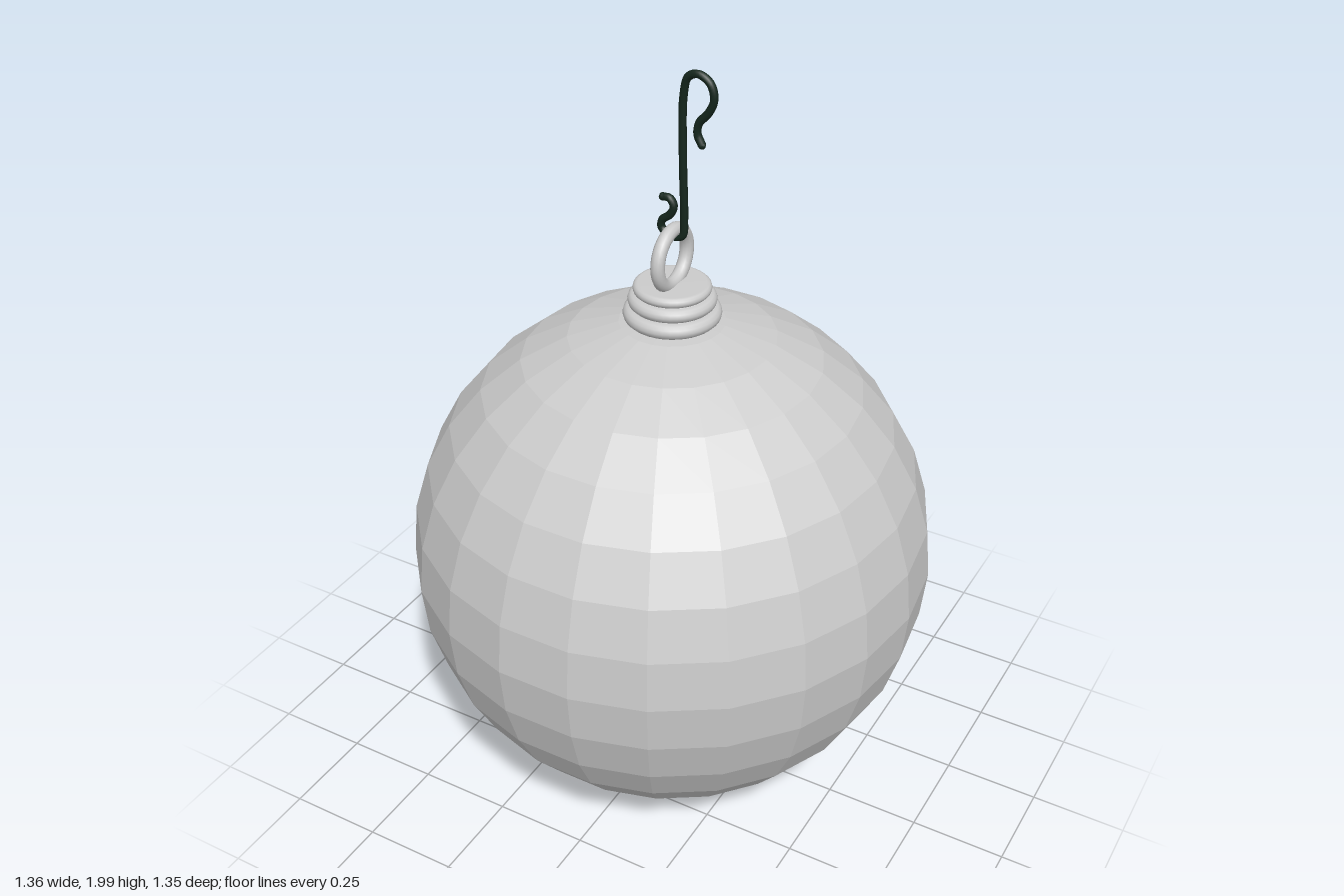
import * as THREE from 'three';

export function createModel() {
  const group = new THREE.Group();
  const facetMat = new THREE.MeshStandardMaterial({ color: 0xcccccc, flatShading: true });
  const greyMat = new THREE.MeshStandardMaterial({ color: 0xcccccc });
  const wireMat = new THREE.MeshStandardMaterial({ color: 0x14261c });

  const add = (name, geometry, material, x, y, z) => {
    const mesh = new THREE.Mesh(geometry, material);
    mesh.name = name;
    mesh.position.set(x, y, z);
    group.add(mesh);
    return mesh;
  };

  // Faceted ball
  add('ball', new THREE.SphereGeometry(0.68, 22, 16), facetMat, 0, 0.684, 0);

  // Stepped cap: three rounded tiers in one lathe profile
  const tiers = [[0.122, 1.356, 1.395], [0.110, 1.395, 1.43], [0.097, 1.43, 1.456]];
  const profile = [new THREE.Vector2(0, 1.34), new THREE.Vector2(0.1, 1.34)];
  for (const [radius, bottom, top] of tiers) {
    const half = (top - bottom) / 2;
    for (let i = 0; i <= 6; i++) {
      const a = -Math.PI / 2 + (i / 6) * Math.PI;
      profile.push(new THREE.Vector2(
        radius - half + half * Math.cos(a),
        (bottom + top) / 2 + half * Math.sin(a)
      ));
    }
  }
  profile.push(new THREE.Vector2(0, 1.456));
  add('cap', new THREE.LatheGeometry(profile, 40), greyMat, 0, 0, 0);

  // Hanging loop standing in the yz plane
  const loop = add('hangingLoop', new THREE.TorusGeometry(0.071, 0.0175, 12, 32), greyMat, 0, 1.522, 0);
  loop.rotation.y = Math.PI / 2;

  // Bent wire hook: small curl, straight shank, large curl
  const hookPoints = [
    [-0.034, 1.668], [-0.015, 1.668], [-0.004, 1.648], [-0.015, 1.625],
    [-0.036, 1.607], [-0.038, 1.588], [-0.02, 1.575], [0.005, 1.57],
    [0.021, 1.58], [0.024, 1.62], [0.02, 1.78], [0.021, 1.93],
    [0.033, 1.978], [0.06, 1.989], [0.09, 1.972], [0.1, 1.935],
    [0.085, 1.9], [0.062, 1.873], [0.058, 1.845], [0.07, 1.82]
  ].map(([x, y]) => new THREE.Vector3(x, y, 0));
  const hookZ = -0.014;
  const curve = new THREE.CatmullRomCurve3(hookPoints);
  add('hook', new THREE.TubeGeometry(curve, 120, 0.01, 8), wireMat, 0, 0, hookZ);

  // Rounded wire tips
  for (const p of [hookPoints[0], hookPoints[hookPoints.length - 1]]) {
    add('hookTip', new THREE.SphereGeometry(0.01, 8, 6), wireMat, p.x, p.y, hookZ);
  }

  return group;
}
